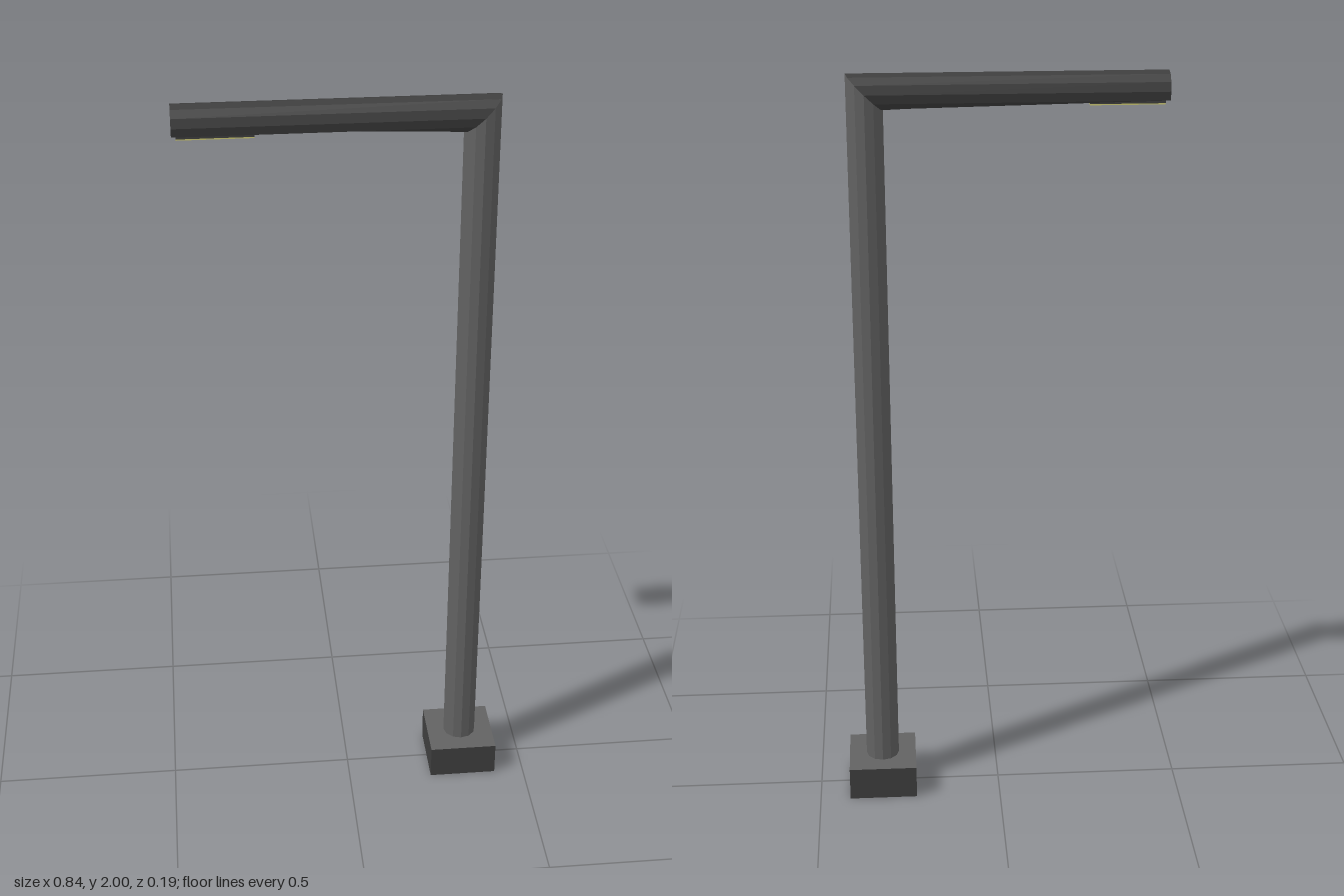
import * as THREE from 'three';

const SIDES = 12, R = 0.045, POLE_X = 0.325, ARM_Y = 1.955, TIP_X = -0.418, BASE_H = 0.093;

// Ring of points from a rule: rule(across, up) gives a position for each angle
function ring(rule) {
  return Array.from({ length: SIDES }, (_, i) => {
    const a = (i / SIDES) * Math.PI * 2;
    return rule(R * Math.cos(a), R * Math.sin(a));
  });
}

// Faceted skin between two rings, with an optional fan cap on the first
function loft(a, b, cap) {
  const pos = [];
  const tri = (...pts) => pts.forEach((p) => pos.push(...p));
  for (let i = 0; i < SIDES; i++) {
    const j = (i + 1) % SIDES;
    tri(a[i], b[i], b[j]);
    tri(a[i], b[j], a[j]);
  }
  if (cap) {
    for (let k = 1; k < SIDES - 1; k++) tri(a[3], a[(3 + k) % SIDES], a[(4 + k) % SIDES]);
  }
  const g = new THREE.BufferGeometry();
  g.setAttribute('position', new THREE.Float32BufferAttribute(pos, 3));
  g.computeVertexNormals();
  return g;
}

export function createModel() {
  const model = new THREE.Group();
  model.name = 'streetLamp';
  const light = new THREE.MeshStandardMaterial({ color: 0x626262 });
  light.name = 'poleGrey';
  const dark = new THREE.MeshStandardMaterial({ color: 0x3e3e3e });
  dark.name = 'darkGrey';
  const glow = new THREE.MeshStandardMaterial({ color: 0xcac673 });
  glow.name = 'lampYellow';

  const add = (name, geometry, material, x = 0, y = 0, z = 0) => {
    const mesh = new THREE.Mesh(geometry, material);
    mesh.name = name;
    mesh.position.set(x, y, z);
    model.add(mesh);
  };

  // Square foot with a paler top face
  add('base', new THREE.BoxGeometry(0.185, BASE_H, 0.185),
    [dark, dark, light, dark, dark, dark], POLE_X, BASE_H / 2);

  // Upright pole, cut at 45 degrees at the top
  add('pole', loft(
    ring((c, s) => [POLE_X + s, ARM_Y + s, c]),
    ring((c, s) => [POLE_X + s, BASE_H, c])), light);

  // Arm: round at the mitre, its underside pressed inward towards the tip
  const pressed = (c, s) => (s < -0.03 ? (Math.abs(c) < 0.01 ? -0.004 : -0.012) : s);
  add('arm', loft(
    ring((c, s) => [TIP_X, ARM_Y + pressed(c, s), c]),
    ring((c, s) => [POLE_X + s, ARM_Y + s, c]), true), dark);

  // Lamp under the tip, with a glowing plate facing down
  add('lampHousing', new THREE.BoxGeometry(0.185, 0.024, 0.058), dark, -0.315, 1.936, 0);
  add('lampGlass', new THREE.BoxGeometry(0.185, 0.003, 0.058), glow, -0.315, 1.9225, 0);

  return model;
}
